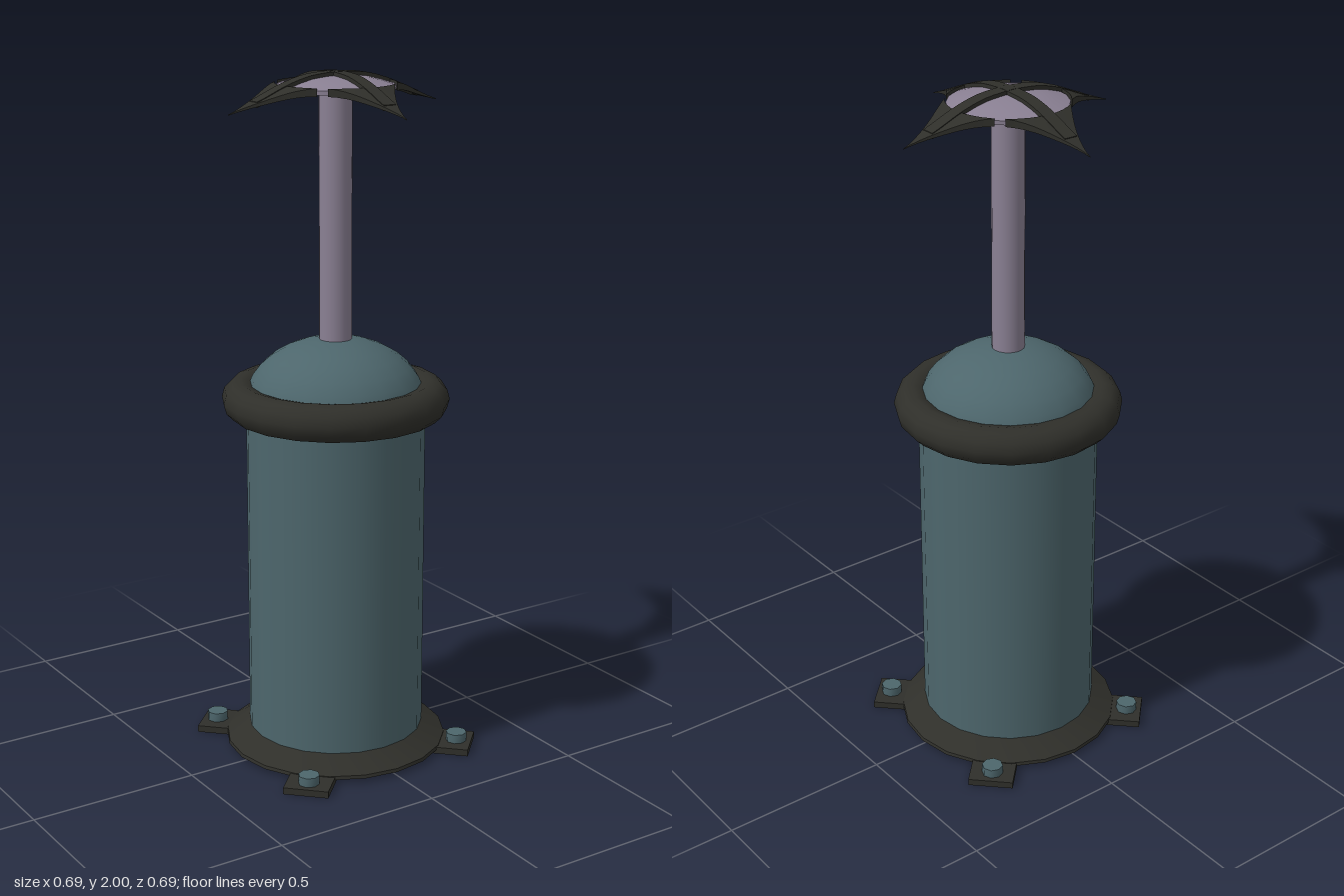
import * as THREE from 'three';
import { toCreasedNormals } from 'three/addons/utils/BufferGeometryUtils.js';

const SIDES = 20;
const teal = new THREE.MeshStandardMaterial({ color: 0x4d666c });
const lilac = new THREE.MeshStandardMaterial({ color: 0x8a8093 });
const dark = new THREE.MeshStandardMaterial({ color: 0x2f2f2a });
const darkThin = new THREE.MeshStandardMaterial({ color: 0x2f2f2a, side: THREE.DoubleSide });

function part(name, geometry, material, parent, x = 0, y = 0, z = 0) {
  const mesh = new THREE.Mesh(geometry, material);
  mesh.name = name;
  mesh.position.set(x, y, z);
  parent.add(mesh);
  return mesh;
}

const lathe = (points) =>
  toCreasedNormals(new THREE.LatheGeometry(points.map(([r, y]) => new THREE.Vector2(r, y)), SIDES), 0.7);

// Height of the claw's upper surface at a distance r from the axis
const clawProfile = new THREE.SplineCurve(
  [[0, 2.0], [0.09, 1.993], [0.17, 1.971], [0.25, 1.938], [0.345, 1.903]].map(([r, y]) => new THREE.Vector2(r, y)));
const profilePoints = clawProfile.getPoints(60);
function clawHeight(r) {
  const i = Math.max(1, profilePoints.findIndex((p) => p.x >= r));
  const a = profilePoints[i - 1], b = profilePoints[i];
  return THREE.MathUtils.lerp(a.y, b.y, (r - a.x) / (b.x - a.x));
}

// Reshape a unit box: rule(t, up, s) with t in -1..1, up in 0..1, s in 0..1
function shapedBox(nx, nz, rule) {
  const geometry = new THREE.BoxGeometry(1, 1, 1, nx, 1, nz);
  const p = geometry.attributes.position;
  for (let i = 0; i < p.count; i++) {
    p.setXYZ(i, ...rule(p.getX(i) * 2, p.getY(i) + 0.5, p.getZ(i) + 0.5));
  }
  geometry.computeVertexNormals();
  return toCreasedNormals(geometry, 0.7);
}

// Spiked blade: inner edge hugs the cap, sides sweep in to a point
const bladeGeometry = () => shapedBox(8, 10, (t, up, s) => {
  const x = t * 0.11 * Math.pow(1 - s, 1.5);
  const inner = Math.sqrt(0.171 ** 2 - (t * 0.11) ** 2);
  const z = THREE.MathUtils.lerp(inner, 0.345, s);
  const r = Math.min(0.345, Math.hypot(x, z));
  return [x, clawHeight(r) - (1 - up) * 0.022 * (1 - 0.9 * s), z];
});

// Narrow strap running from the centre out over the blade
const strapGeometry = () => shapedBox(1, 12, (t, up, s) => {
  const z = s * 0.265;
  return [t * 0.02, clawHeight(z) + 0.002 - (1 - up) * 0.016, z];
});

export function createModel() {
  const model = new THREE.Group();
  model.name = 'plungerPost';

  // Main cylinder with domed top
  part('body', new THREE.CylinderGeometry(0.26, 0.26, 1.0, SIDES), teal, model, 0, 0.56);
  const dome = part('dome',
    new THREE.SphereGeometry(0.26, SIDES, 8, 0, Math.PI * 2, 0, Math.PI / 2), teal, model, 0, 1.06);
  dome.scale.y = 0.185 / 0.26;

  // Thick collar
  const collar = new THREE.TorusGeometry(0.275, 0.055, 12, SIDES);
  collar.rotateX(Math.PI / 2);
  part('collar', collar, dark, model, 0, 1.066);

  // Sloping skirt around the base
  part('baseSkirt', lathe([[0.33, 0.012], [0.328, 0.022], [0.26, 0.062]]), darkThin, model);

  // Four diagonal feet, each with a bolt
  for (let i = 0; i < 4; i++) {
    const foot = new THREE.Group();
    foot.name = 'foot';
    foot.rotation.y = Math.PI / 4 + i * Math.PI / 2;
    part('footBar', new THREE.BoxGeometry(0.132, 0.02, 0.33), dark, foot, 0, 0.01, 0.25);
    part('bolt', toCreasedNormals(new THREE.CylinderGeometry(0.031, 0.031, 0.03, 8), 0.9),
      teal, foot, 0, 0.032, 0.37);
    model.add(foot);
  }

  // Rod and shallow cap
  part('rod', new THREE.CylinderGeometry(0.047, 0.047, 0.77, SIDES), lilac, model, 0, 1.575);
  const capRim = [0.168, 0.13, 0.09, 0.045, 0].map((r) => [r, clawHeight(r) - 0.008]);
  part('cap', lathe([[0, 1.952], [0.168, 1.952], ...capRim]), lilac, model);

  // Four claws over the cap
  for (let i = 0; i < 4; i++) {
    const claw = new THREE.Group();
    claw.name = 'claw';
    claw.rotation.y = i * Math.PI / 2;
    part('clawBlade', bladeGeometry(), dark, claw);
    part('clawStrap', strapGeometry(), dark, claw);
    model.add(claw);
  }
  return model;
}
